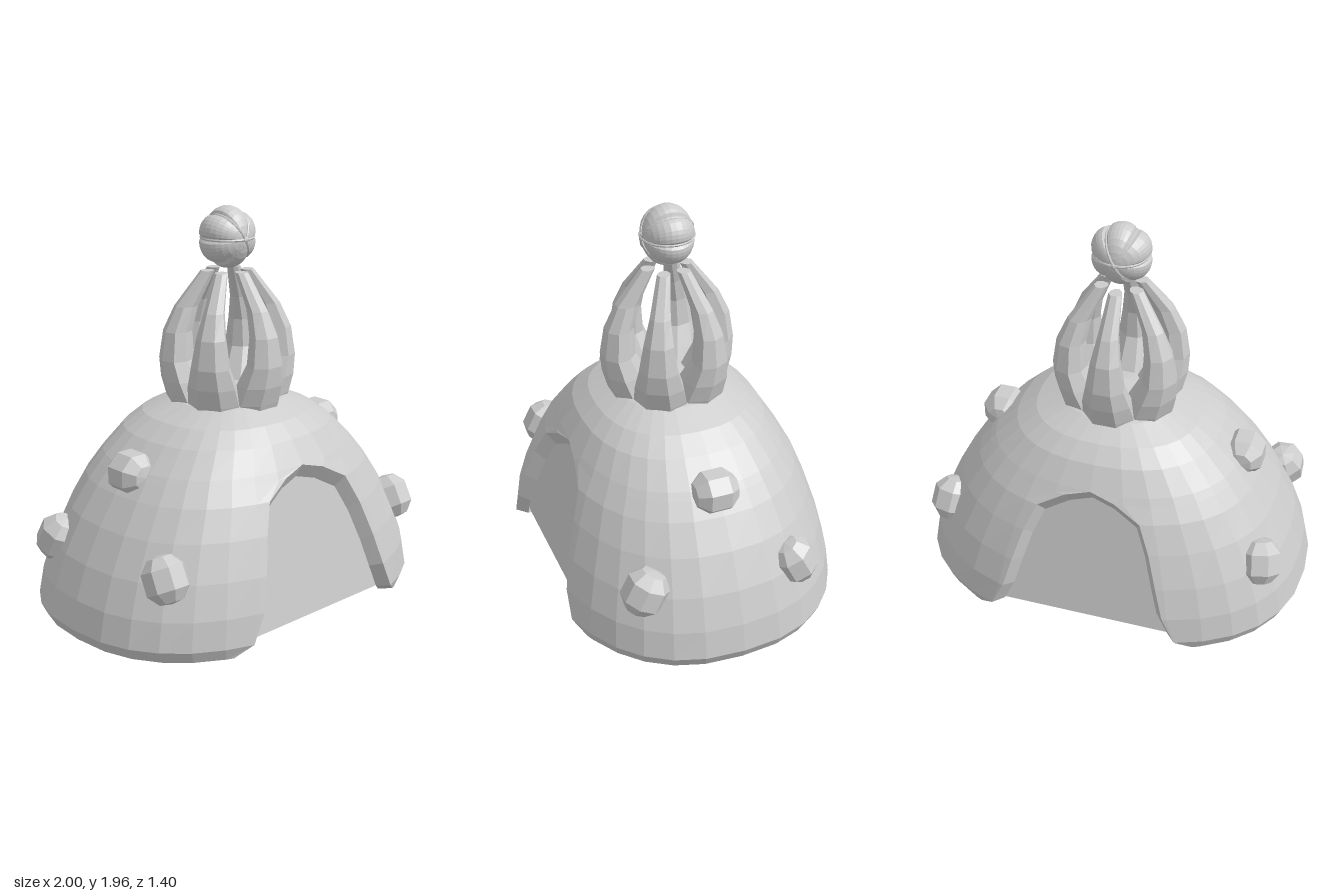
import * as THREE from 'three';

const grey = new THREE.MeshStandardMaterial({ color: 0xcccccc, flatShading: true });

function mesh(name, geometry) {
  const m = new THREE.Mesh(geometry, grey);
  m.name = name;
  return m;
}

// Skin a stack of closed rings (each ring an equal-length list of [x, y, z]).
function loft(rings) {
  const n = rings[0].length, index = [];
  for (let i = 0; i < rings.length - 1; i++) {
    for (let j = 0; j < n; j++) {
      const k = (j + 1) % n, a = i * n + j, b = i * n + k;
      index.push(a, b, b + n, a, b + n, a + n);
    }
  }
  const g = new THREE.BufferGeometry();
  g.setAttribute('position', new THREE.Float32BufferAttribute(rings.flat(2), 3));
  g.setIndex(index);
  g.computeVertexNormals();
  return g;
}

// Dome levels: height, half width, half depth, half width of the arched opening.
const LEVELS = [
  [0, 0.97, 0.735, 0.56], [0.06, 1, 0.755, 0.48], [0.2, 0.97, 0.74, 0.415],
  [0.36, 0.91, 0.7, 0.37], [0.53, 0.82, 0.645, 0.32], [0.67, 0.725, 0.59, 0.26],
  [0.745, 0.665, 0.545, 0.125], [0.78, 0.635, 0.525, 0], [0.89, 0.52, 0.455, 0],
  [0.96, 0.42, 0.38, 0], [1.02, 0.28, 0.27, 0], [1.06, 0.14, 0.14, 0], [1.08, 0.001, 0.001, 0],
];

// One thick half of the dome, running from the front opening round to the back one.
// Columns stay regular; those that would cross the opening stop at its edge.
function halfDome() {
  const N = 16, p = 2.4;
  const inward = ([x, y, z]) => [x * 0.9, y * 0.91, z * 0.92];
  const outer = LEVELS.map(([y, a, b, w]) => {
    const start = Math.acos(Math.pow(w / a, p / 2));
    return Array.from({ length: N + 1 }, (_, j) => {
      const t = THREE.MathUtils.clamp((Math.PI / 2) * (1 - (2 * j) / N), -start, start);
      const s = Math.sin(t);
      return [
        a * Math.pow(Math.max(Math.cos(t), 0), 2 / p), y,
        b * Math.sign(s) * Math.pow(Math.abs(s), 2 / p),
      ];
    });
  });
  const rings = outer.map((row) => [...row, ...row.map(inward).reverse()]);
  const foot = outer[0].map(inward);
  rings.unshift([...foot, ...[...foot].reverse()]); // closes the underside of the wall
  return loft(rings);
}

// Tapered block filling the arches, its corners buried in the dome wall.
function core() {
  const ring = (x, y, z) => [[x, y, z], [x, y, -z], [-x, y, -z], [-x, y, z]];
  return loft([ring(0, 0.04, 0), ring(0.59, 0.04, 0.62), ring(0.25, 0.76, 0.47), ring(0, 0.76, 0)]);
}

// Curved prong: height, inner radius, outer radius, half width.
function prong() {
  const rows = [
    [0.97, 0.06, 0.28, 0.11], [1.03, 0.07, 0.3, 0.12], [1.12, 0.12, 0.325, 0.11],
    [1.22, 0.175, 0.335, 0.088], [1.36, 0.18, 0.315, 0.067], [1.48, 0.15, 0.26, 0.046],
    [1.65, 0.065, 0.13, 0.03], [1.65, 0.097, 0.098, 0],
  ];
  const flat = Math.cos(Math.PI / 8);
  return loft(rows.map(([y, r0, r1, w]) => Array.from({ length: 8 }, (_, j) => {
    const t = ((j + 0.5) / 8) * Math.PI * 2, c = Math.cos(t) / flat;
    return [(r0 + r1) / 2 + ((r1 - r0) / 2) * c, y, (-w * (1 + 0.2 * c) * Math.sin(t)) / flat];
  })));
}

// Faceted stud: a short octagonal barrel with bevelled ends, lying along x.
function stud() {
  const profile = [[0, -0.115], [0.06, -0.105], [0.107, -0.052], [0.107, 0.052], [0.06, 0.105], [0, 0.115]];
  return new THREE.LatheGeometry(profile.map(([r, h]) => new THREE.Vector2(r, h)), 8)
    .rotateY(Math.PI / 8).rotateZ(Math.PI / 2);
}

// Six-lobed ball with its poles facing front and back.
function lobedBall() {
  const g = new THREE.SphereGeometry(1, 48, 14).rotateX(Math.PI / 2), pos = g.attributes.position;
  for (let i = 0; i < pos.count; i++) {
    const x = pos.getX(i), y = pos.getY(i);
    const r = 0.126 + 0.026 * Math.pow(Math.abs(Math.sin(3 * Math.atan2(y, x))), 0.4);
    pos.setXYZ(i, x * r, y * r, pos.getZ(i) * 0.127);
  }
  g.computeVertexNormals();
  return g;
}

export function createModel() {
  const model = new THREE.Group();
  model.name = 'domedPavilion';

  // Dome and core
  const dome = new THREE.Group();
  dome.name = 'dome';
  const shell = halfDome();
  for (const side of [0, 1]) {
    const half = mesh(side ? 'domeRight' : 'domeLeft', shell);
    half.rotation.y = side * Math.PI;
    dome.add(half);
  }
  model.add(dome, mesh('core', core()));

  // Studs: position, outward direction and roll, mirrored left and right
  const studGeo = stud();
  const places = [
    [[0.635, 0.76, 0.015], [0.7, 0.7, 0], 0],
    [[0.78, 0.39, 0.425], [0.68, 0.35, 0.64], 1.25],
    [[0.815, 0.38, -0.335], [0.8, 0.35, -0.48], -1.25],
  ];
  for (const s of [1, -1]) {
    for (const [p, d, roll] of places) {
      const m = mesh(s > 0 ? 'studLeft' : 'studRight', studGeo);
      m.position.set(s * p[0], p[1], p[2]);
      m.lookAt(s * (p[0] + d[0]), p[1] + d[1], p[2] + d[2]);
      m.rotateZ(s * roll);
      model.add(m);
    }
  }

  // Crown of six prongs
  const crown = new THREE.Group();
  crown.name = 'crown';
  const prongGeo = prong();
  for (let i = 0; i < 6; i++) {
    const m = mesh('prong', prongGeo);
    m.rotation.y = Math.PI / 6 + (i * Math.PI) / 3;
    crown.add(m);
  }
  model.add(crown);

  // Finial ball with seam rings in the grooves and a button at each pole
  const finial = new THREE.Group();
  finial.name = 'finial';
  finial.position.y = 1.81;
  finial.add(mesh('ball', lobedBall()));
  const ringGeo = new THREE.TorusGeometry(0.128, 0.007, 6, 32).rotateX(Math.PI / 2);
  const buttonGeo = new THREE.SphereGeometry(0.016, 8, 6);
  for (let i = 0; i < 3; i++) {
    const ring = mesh('seam', ringGeo);
    ring.rotation.z = (i * Math.PI) / 3;
    finial.add(ring);
  }
  for (const s of [1, -1]) {
    const button = mesh('button', buttonGeo);
    button.position.z = s * 0.125;
    finial.add(button);
  }
  model.add(finial);
  return model;
}
